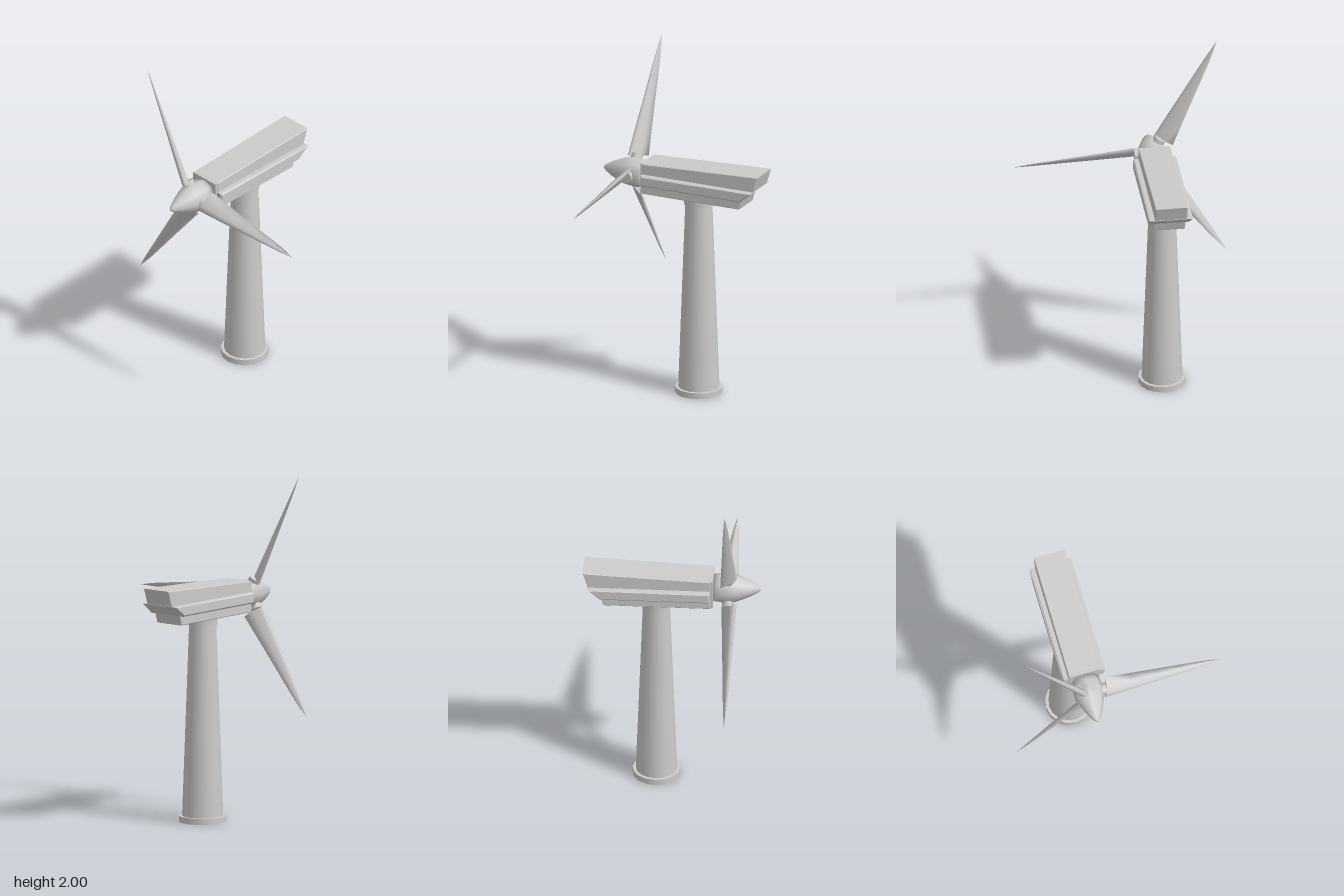
import * as THREE from 'three';

const material = new THREE.MeshStandardMaterial({ color: 0xcccccc });
const AXIS_X = -0.19, TOWER_Z = -0.095, HUB_Y = 1.28, HUB_Z = 0.322;

function part(name, geometry, parent, x = 0, y = 0, z = 0) {
  const mesh = new THREE.Mesh(geometry, material);
  mesh.name = name;
  mesh.position.set(x, y, z);
  parent.add(mesh);
  return mesh;
}

// Upright cylinder standing between two heights
function column(name, rTop, rBottom, y0, y1, parent) {
  part(name, new THREE.CylinderGeometry(rTop, rBottom, y1 - y0, 16), parent, AXIS_X, (y0 + y1) / 2, TOWER_Z);
}

// Side profile of [z, y] points, extruded across x with chamfered edges
function acrossX(points, halfWidth, bevel) {
  const shape = new THREE.Shape(points.map(([z, y]) => new THREE.Vector2(z, y)));
  const depth = 2 * (halfWidth - bevel);
  return new THREE.ExtrudeGeometry(shape, {
    depth, bevelEnabled: true, bevelThickness: bevel, bevelSize: bevel, bevelOffset: -bevel, bevelSegments: 1,
  }).translate(0, 0, -depth / 2).rotateY(-Math.PI / 2);
}

// Tapering pitched aerofoil running along +x; the chord shrinks toward the tip
function bladeGeometry() {
  const section = [ // [along chord, thickness offset]
    [0, 0], [0.06, 0.014], [0.25, 0.022], [0.6, 0.014], [1, 0], [0.6, -0.012], [0.25, -0.02], [0.06, -0.013],
  ];
  const stations = [[0.1, 1], [0.25, 0.82], [0.4, 0.62], [0.55, 0.44], [0.68, 0.27], [0.75, 0.14], [0.807, 0.005]];
  const lead = new THREE.Vector2(-0.027, 0.044), chord = new THREE.Vector2(0.097, -0.086);
  const across = new THREE.Vector2(-chord.y, chord.x).normalize();
  const n = section.length, positions = [], index = [];
  const addRing = ([u, scale], slant) => section.forEach(([t, h]) => {
    const y = lead.x + chord.x * t + across.x * h, z = lead.y + chord.y * t + across.y * h;
    positions.push(u + slant * (t - 0.5), y * scale, z * scale);
  });
  stations.forEach((s, i) => addRing(s, i === 0 ? 0.025 : 0));
  for (let i = 0; i < stations.length - 1; i++) {
    for (let j = 0; j < n; j++) {
      const a = i * n + j, b = i * n + (j + 1) % n;
      index.push(a, b, a + n, b, b + n, a + n);
    }
  }
  // Root cap with its own vertices, so its edge stays sharp
  const cap = stations.length * n;
  addRing(stations[0], 0.025);
  for (let j = 1; j < n - 1; j++) index.push(cap, cap + j + 1, cap + j);
  // Section order decides the winding: turn all faces outward if the volume is negative
  const p = k => new THREE.Vector3().fromArray(positions, k * 3);
  let volume = 0;
  for (let k = 0; k < index.length; k += 3) volume += p(index[k]).dot(p(index[k + 1]).cross(p(index[k + 2])));
  if (volume < 0) index.reverse();
  const geometry = new THREE.BufferGeometry();
  geometry.setAttribute('position', new THREE.Float32BufferAttribute(positions, 3));
  geometry.setIndex(index);
  geometry.computeVertexNormals();
  return geometry;
}

export function createModel() {
  const model = new THREE.Group();
  model.name = 'windTurbine';

  // Tower
  const tower = new THREE.Group();
  tower.name = 'tower';
  model.add(tower);
  column('towerBase', 0.1375, 0.1375, 0, 0.035, tower);
  column('towerShaft', 0.078, 0.119, 0.035, 1.16, tower);
  column('towerCollar', 0.086, 0.086, 1.15, 1.195, tower);

  // Nacelle: core housing, wider side rails and front plate
  const nacelle = new THREE.Group();
  nacelle.name = 'nacelle';
  model.add(nacelle);
  part('housing', acrossX([
    [0.22, 1.188], [0.22, 1.37], [-0.515, 1.4], [-0.485, 1.308], [-0.413, 1.244], [-0.395, 1.188],
  ].reverse(), 0.093, 0.004), nacelle, AXIS_X);
  part('sideRails', acrossX([
    [0.22, 1.244], [0.22, 1.308], [-0.49, 1.308], [-0.413, 1.244],
  ].reverse(), 0.127, 0.009), nacelle, AXIS_X);
  part('frontPlate', new THREE.BoxGeometry(0.18, 0.178, 0.02), nacelle, AXIS_X, HUB_Y, 0.225);

  // Rotor: pointed hub and three blades
  const rotor = new THREE.Group();
  rotor.name = 'rotor';
  rotor.position.set(AXIS_X, HUB_Y, HUB_Z);
  model.add(rotor);
  const hubProfile = [
    [0, -0.09], [0.078, -0.09], [0.086, -0.05], [0.089, 0], [0.082, 0.04],
    [0.065, 0.085], [0.045, 0.13], [0.022, 0.17], [0.01, 0.184], [0, 0.188],
  ].map(([r, y]) => new THREE.Vector2(r, y));
  part('hub', new THREE.LatheGeometry(hubProfile, 8).rotateX(Math.PI / 2), rotor);

  const foil = bladeGeometry();
  const root = new THREE.CylinderGeometry(0.034, 0.036, 0.07, 12).rotateZ(-Math.PI / 2);
  for (let i = 0; i < 3; i++) {
    const blade = new THREE.Group();
    blade.name = 'blade' + (i + 1);
    blade.rotation.z = THREE.MathUtils.degToRad(-2.4 + 120 * i);
    rotor.add(blade);
    part('bladeRoot', root, blade, 0.07);
    part('bladeFoil', foil, blade);
  }
  return model;
}
